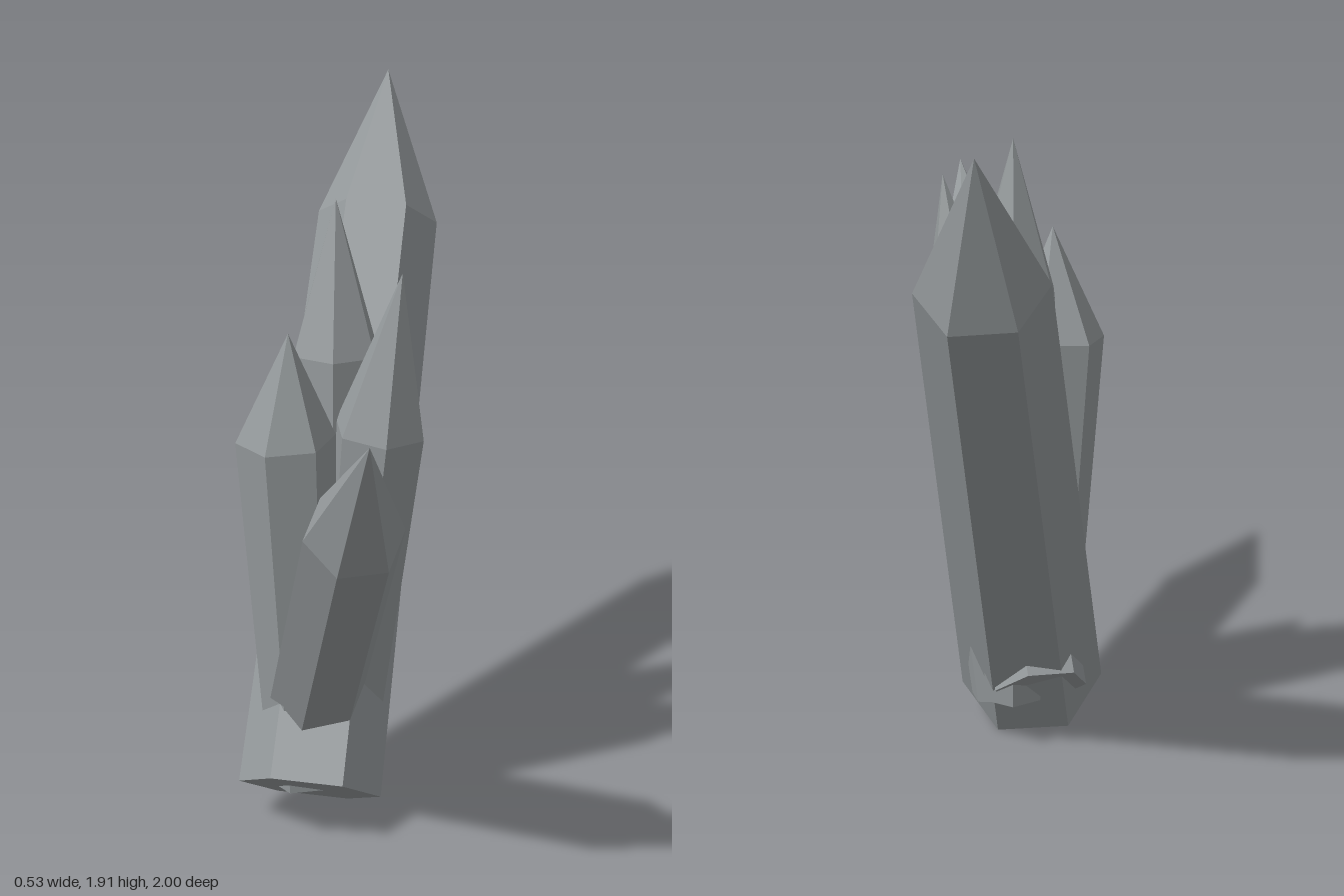
import * as THREE from 'three';

const stone = new THREE.MeshStandardMaterial({ color: 0x959a9c });
stone.name = 'grey crystal';
stone.flatShading = true;

// Six-sided ring around an axis; phase in degrees turns it from +x towards +z
function ring(center, axis, radius, phase) {
  const e1 = new THREE.Vector3(1, 0, 0).addScaledVector(axis, -axis.x).normalize();
  const e2 = new THREE.Vector3().crossVectors(e1, axis);
  return Array.from({ length: 6 }, (_, i) => {
    const a = THREE.MathUtils.degToRad(phase + i * 60);
    return center.clone()
      .addScaledVector(e1, Math.cos(a) * radius)
      .addScaledVector(e2, Math.sin(a) * radius);
  });
}

// Hexagonal prism from base to shoulder, closed by a pyramid to the tip
function crystal({ name, base, baseR, shoulder, shoulderR, tip, phase }) {
  const b = new THREE.Vector3(...base);
  const s = new THREE.Vector3(...shoulder);
  const t = new THREE.Vector3(...tip);
  const axis = s.clone().sub(b).normalize();
  const low = ring(b, axis, baseR, phase);
  const high = ring(s, axis, shoulderR, phase);
  const points = [];
  for (let i = 0; i < 6; i++) {
    const j = (i + 1) % 6;
    points.push(low[i], high[i], high[j], low[i], high[j], low[j]); // side
    points.push(high[i], t, high[j]); // point
    points.push(b, low[i], low[j]); // bottom
  }
  const geometry = new THREE.BufferGeometry().setFromPoints(points);
  geometry.computeVertexNormals();
  const mesh = new THREE.Mesh(geometry, stone);
  mesh.name = name;
  return mesh;
}

export function createModel() {
  const group = new THREE.Group();
  group.name = 'crystalCluster';
  const crystals = [
    { name: 'largeBackCrystal', base: [-0.06, 0.102, 0.155], baseR: 0.203,
      shoulder: [0.09, 1.525, -0.76], shoulderR: 0.175, tip: [0.11, 1.91, -1], phase: 0 },
    { name: 'frontCrystal', base: [-0.08, 0.165, -0.07], baseR: 0.135,
      shoulder: [0.09, 1.11, 0.705], shoulderR: 0.135, tip: [0.14, 1.46, 1], phase: -13 },
    { name: 'middleCrystal', base: [0, 0.13, -0.03], baseR: 0.09,
      shoulder: [0, 1.33, -0.095], shoulderR: 0.13, tip: [0, 1.765, -0.11], phase: 30 },
    { name: 'leftCrystal', base: [0.03, 0.12, 0], baseR: 0.09,
      shoulder: [0.13, 1.16, 0.065], shoulderR: 0.13, tip: [0.19, 1.62, 0.1], phase: 20 },
    { name: 'rightCrystal', base: [-0.08, 0.1, 0.08], baseR: 0.1,
      shoulder: [-0.125, 1.15, 0.12], shoulderR: 0.138, tip: [-0.115, 1.46, 0.145], phase: 50 },
  ];
  for (const c of crystals) group.add(crystal(c));
  return group;
}
